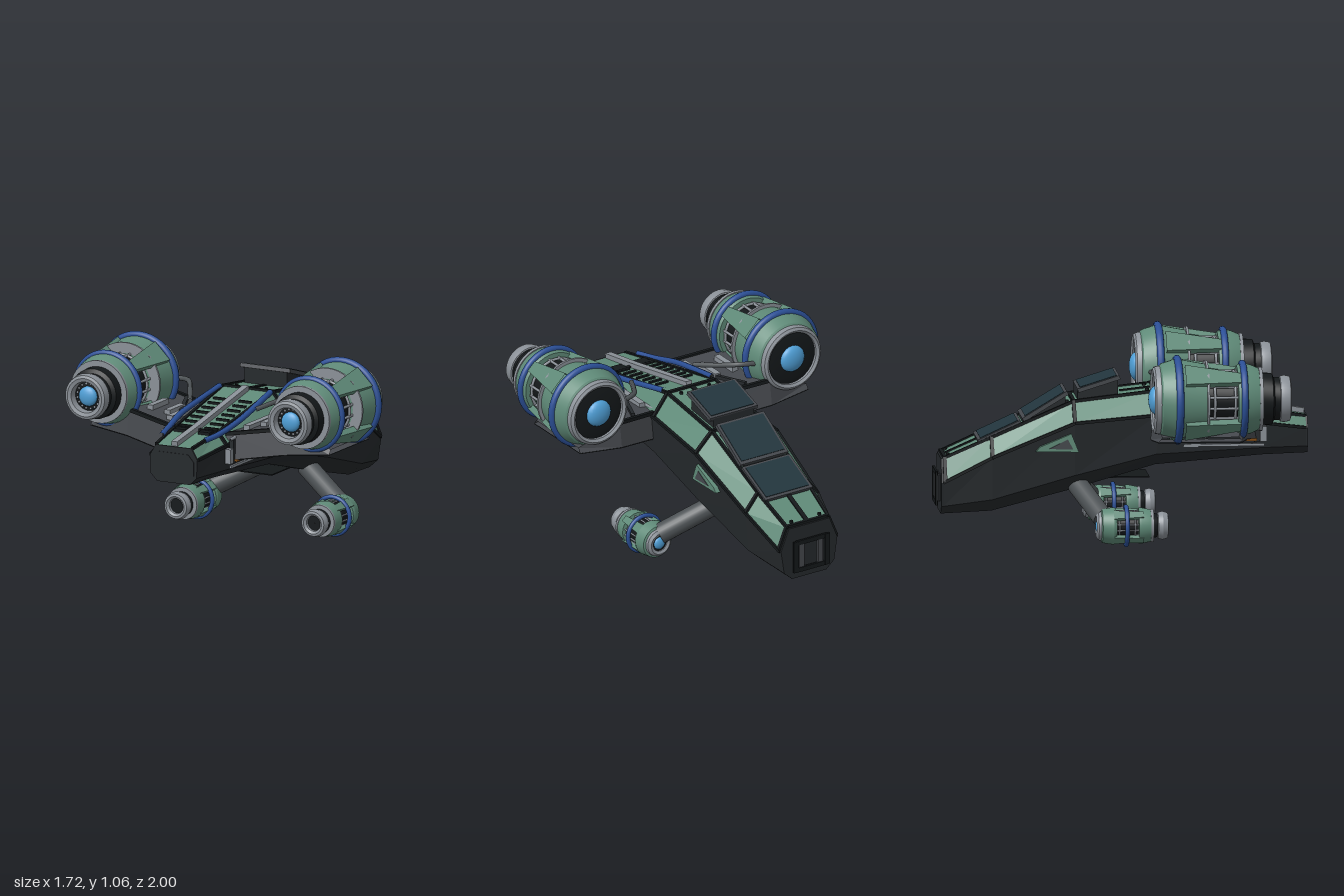
import * as THREE from 'three';
import { toCreasedNormals } from 'three/addons/utils/BufferGeometryUtils.js';

const C = { green: 0x5f8a78, dark: 0x25292c, black: 0x14181a, blue: 0x2b4f96, grey: 0x8a9097, glass: 0x22353d,
  lamp: 0x4f9fd6, arm: 0x4c5154, wing: 0x45484d, orange: 0xa8641e };
const V = (x, y, z) => new THREE.Vector3(x, y, z);

function add(parent, name, geo, color, flat = false, double = false) {
  const mat = new THREE.MeshStandardMaterial({ color, flatShading: flat, side: double ? THREE.DoubleSide : THREE.FrontSide });
  const m = new THREE.Mesh(geo, mat);
  m.name = name;
  parent.add(m);
  return m;
}
function box(p, name, w, h, d, x, y, z, color) {
  const m = add(p, name, new THREE.BoxGeometry(w, h, d), color);
  m.position.set(x, y, z);
  return m;
}
// Box stretched between two points
function bar(p, name, a, b, w, h, color) {
  const m = add(p, name, new THREE.BoxGeometry(w, h, a.distanceTo(b)), color);
  m.position.copy(a).add(b).multiplyScalar(0.5);
  m.lookAt(b);
  return m;
}
function tube(p, name, pts, r, color) {
  return add(p, name, new THREE.TubeGeometry(new THREE.CatmullRomCurve3(pts, false, 'centripetal'), 20, r, 8), color);
}
// Skin between rings of points
function loft(rings, closed = false) {
  const pos = [];
  for (let i = 0; i < rings.length - 1; i++) {
    const a = rings[i], b = rings[i + 1], n = a.length;
    for (let j = 0; j < (closed ? n : n - 1); j++) {
      const k = (j + 1) % n;
      for (const v of [a[j], b[j], b[k], a[j], b[k], a[k]]) pos.push(v.x, v.y, v.z);
    }
  }
  const g = new THREE.BufferGeometry();
  g.setAttribute('position', new THREE.Float32BufferAttribute(pos, 3));
  g.computeVertexNormals();
  return g;
}
// Side outline in (z, y), extruded across x
function sidePlate(pts, width) {
  const g = new THREE.ExtrudeGeometry(new THREE.Shape(pts.map(q => new THREE.Vector2(...q))), { depth: width, bevelEnabled: false });
  return g.translate(0, 0, -width / 2).rotateY(-Math.PI / 2);
}
function lathe(profile) {
  const g = new THREE.LatheGeometry(profile.map(q => new THREE.Vector2(...q)), 40);
  return toCreasedNormals(g.rotateX(Math.PI / 2), 0.45);
}

// Hull stations: z, bottom y/w, lower side y/w, shoulder y/w, roof y/w
const S = [
  [0.99, 0.46, 0.10, 0.50, 0.14, 0.60, 0.145, 0.66, 0.11],
  [0.75, 0.453, 0.11, 0.50, 0.18, 0.635, 0.185, 0.70, 0.13],
  [0.18, 0.41, 0.13, 0.48, 0.235, 0.69, 0.24, 0.81, 0.15],
  [-0.26, 0.285, 0.14, 0.37, 0.24, 0.655, 0.26, 0.76, 0.155],
  [-0.70, 0.17, 0.13, 0.24, 0.21, 0.47, 0.23, 0.57, 0.15],
  [-0.96, 0.155, 0.11, 0.20, 0.16, 0.33, 0.18, 0.455, 0.13]];
function at(z) {
  let i = 0;
  while (i < S.length - 2 && z < S[i + 1][0]) i++;
  const t = (S[i][0] - z) / (S[i][0] - S[i + 1][0]);
  return S[i].map((v, k) => v + (S[i + 1][k] - v) * t);
}
const roof = (z, x, up = 0) => V(x, at(z)[7] + up, z);
const lower = s => [V(-s[6], s[5], s[0]), V(-s[4], s[3], s[0]), V(-s[2], s[1], s[0]), V(s[2], s[1], s[0]), V(s[4], s[3], s[0]), V(s[6], s[5], s[0])];
const upper = s => [V(s[6], s[5], s[0]), V(s[8], s[7], s[0]), V(-s[8], s[7], s[0]), V(-s[6], s[5], s[0])];

function buildHull(g) {
  add(g, 'lowerHull', loft(S.map(lower)), C.dark, true);
  add(g, 'upperHull', loft(S.map(upper)), C.green, true);
  // End caps
  for (const [s, name] of [[S[0], 'sternCap'], [S[5], 'noseCap']]) {
    const pts = [...lower(s), ...upper(s).slice(1, 3)].map(v => new THREE.Vector2(v.x, v.y));
    const m = add(g, name, new THREE.ExtrudeGeometry(new THREE.Shape(pts), { depth: 0.01, bevelEnabled: false }), C.dark, true);
    m.position.z = s[0] - (s[0] < 0 ? 0.01 : 0);
  }
  // Dark trim along the edges and around the seams
  for (let i = 0; i < S.length - 1; i++) {
    const a = upper(S[i]), b = upper(S[i + 1]);
    for (let j = 0; j < 4; j++) bar(g, 'edgeTrim', a[j], b[j], 0.016, 0.016, C.black);
  }
  for (const z of [0.75, 0.18, -0.26, -0.70, -0.95]) {
    const r = upper(at(z));
    for (let j = 0; j < 3; j++) bar(g, 'seamTrim', r[j], r[j + 1], 0.02, 0.02, C.black);
  }
  for (const [a, b] of [[-0.95, -0.70], [0.0, 0.18]]) bar(g, 'roofStrip', roof(a, 0), roof(b, 0), 0.026, 0.014, C.black);
  for (const s of [-1, 1]) {
    for (const z of [-0.93, -0.29, -0.22, 0.14]) {
      add(g, 'rivet', new THREE.CylinderGeometry(0.01, 0.01, 0.016, 10), C.black).position.copy(roof(z, s * 0.09, 0.004));
    }
  }
  // Raised windows
  for (const [z0, y0, z1, y1] of [[-0.01, 0.885, -0.235, 0.815], [-0.29, 0.805, -0.53, 0.66], [-0.54, 0.65, -0.77, 0.545]]) {
    const base = [[z0 - 0.01, at(z0)[7] - 0.02], [z0 - 0.01, y0], [z1, y1], [z1, at(z1)[7] - 0.02]].reverse();
    add(g, 'windowBase', sidePlate(base, 0.26), C.dark, true);
    const a = V(0, y0, z0), b = V(0, y1, z1);
    bar(g, 'windowFrame', a, b, 0.305, 0.022, C.wing);
    const c = a.clone().lerp(b, 0.06), d = a.clone().lerp(b, 0.94);
    c.y += 0.005; d.y += 0.005;
    bar(g, 'windowGlass', c, d, 0.275, 0.02, C.glass);
  }
  // Nose hatch frame
  for (const s of [-1, 1]) {
    box(g, 'noseFrameSide', 0.03, 0.18, 0.012, s * 0.1, 0.29, -0.992, C.black);
    box(g, 'noseFrameBar', 0.2, 0.025, 0.012, 0, 0.29 + s * 0.08, -0.99, C.black);
    box(g, 'noseStrut', 0.03, 0.15, 0.025, s * 0.06, 0.29, -0.978, C.wing);
  }
  box(g, 'noseHatch', 0.18, 0.14, 0.01, 0, 0.29, -0.973, C.dark);
  // Stern plate
  const e = new THREE.Shape([[-0.09, 0.485], [0.09, 0.485], [0.125, 0.51], [0.125, 0.585], [0.09, 0.625], [-0.09, 0.625], [-0.125, 0.585], [-0.125, 0.51]].map(q => new THREE.Vector2(...q)));
  add(g, 'sternPlate', new THREE.ExtrudeGeometry(e, { depth: 0.005, bevelEnabled: false }), C.dark).position.z = 0.998;
  // Belly plate
  box(g, 'bellyPlate', 0.26, 0.006, 0.24, 0, 0.342, 0.03, C.black);
  // Spine rail and roof slats
  for (const [a, b] of [[0.2, 0.75], [0.75, 0.99]]) bar(g, 'spineRail', roof(a, 0, 0.012), roof(b, 0, 0.012), 0.036, 0.03, C.grey);
  for (let i = 0; i < 7; i++) {
    const z = 0.35 + i * 0.062;
    for (const s of [-1, 1]) bar(g, 'roofSlat', roof(z, s * 0.04, 0.003), roof(z, s * 0.115, 0.003), 0.016, 0.014, C.black);
  }
  for (const s of [-1, 1]) bar(g, 'roofVent', roof(0.78, s * 0.04, 0.004), roof(0.78, s * 0.11, 0.004), 0.045, 0.016, C.black);
}

// Engine pod: shell profiles, rings, cage rods, struts; all along z
function engine(name, e) {
  const g = new THREE.Group();
  g.name = name;
  for (const [part, color, profile] of e.shells) add(g, part, lathe(profile), color);
  for (const [part, color, r, t, z] of e.rings) add(g, part, new THREE.TorusGeometry(r, t, 12, 44), color).position.z = z;
  for (const [r, z, dir] of e.lamps) {
    const m = add(g, 'lamp', new THREE.SphereGeometry(r, 24, 12), C.lamp);
    m.position.z = z;
    m.scale.z = 0.5 * dir;
  }
  const c = e.cage;
  for (let i = 0; i < 16; i++) {
    const t = (i + 0.5) * Math.PI / 8, x = Math.cos(t), y = Math.sin(t);
    tube(g, 'cageRod', [V(x * c.r, y * c.r, c.z0), V(x * c.r, y * c.r, c.z1)], c.rod, C.grey);
    if (e.bolts) add(g, 'bolt', new THREE.SphereGeometry(0.007, 8, 6), C.grey).position.set(x * e.bolts[0], y * e.bolts[0], e.bolts[1]);
  }
  // Four tapering struts bridge the cage
  const [z0, r0, w0, z1, r1, w1] = e.strut;
  for (let i = 0; i < 4; i++) {
    const ring = (z, r, w) => [V(-w, r - c.t, z), V(w, r - c.t, z), V(w, r, z), V(-w, r, z)];
    add(g, 'strut', loft([ring(z1, r1, w1), ring(z0, r0, w0)], true), C.green, true, true).rotation.z = Math.PI / 4 + i * Math.PI / 2;
  }
  return g;
}
const BIG = {
  shells: [['intakeLip', C.grey, [[0.15, 0.16], [0.15, 0.135], [0.165, 0.125], [0.18, 0.135], [0.185, 0.165]]],
    ['intakeRing', C.black, [[0.001, 0.148], [0.155, 0.148]].reverse()],
    ['intakeFace', C.black, [[0.001, 0.14], [0.11, 0.14], [0.15, 0.15]]],
    ['frontCowl', C.green, [[0.182, 0.16], [0.195, 0.17], [0.222, 0.25], [0.212, 0.3], [0.19, 0.415], [0.13, 0.42]]],
    ['cowlFlange', C.grey, [[0.18, 0.405], [0.212, 0.405], [0.212, 0.418], [0.15, 0.418]]],
    ['core', C.black, [[0.135, 0.4], [0.135, 0.6]]],
    ['rearCowl', C.green, [[0.13, 0.575], [0.18, 0.575], [0.195, 0.605], [0.185, 0.65], [0.165, 0.695], [0.1, 0.7]]],
    ['rearFlange', C.grey, [[0.15, 0.692], [0.172, 0.692], [0.172, 0.71], [0.1, 0.71]]],
    ['nozzle', C.black, [[0.14, 0.7], [0.138, 0.765], [0.115, 0.775], [0.115, 0.81], [0.05, 0.82], [0.001, 0.82]]],
    ['nozzleRing', C.grey, [[0.1, 0.8], [0.122, 0.808], [0.126, 0.83], [0.12, 0.86], [0.105, 0.866], [0.085, 0.86], [0.08, 0.82]]]],
  rings: [['frontRing', C.blue, 0.221, 0.02, 0.258], ['rearRing', C.blue, 0.192, 0.018, 0.608],
    ['cageRing', C.grey, 0.152, 0.008, 0.45], ['cageRing', C.grey, 0.152, 0.008, 0.56]],
  lamps: [[0.075, 0.14, 1], [0.055, 0.825, 1]], bolts: [0.068, 0.822],
  cage: { r: 0.152, rod: 0.008, z0: 0.41, z1: 0.585, t: 0.035 }, strut: [0.29, 0.225, 0.065, 0.6, 0.19, 0.03] };
const SMALL = {
  shells: [['intakeLip', C.grey, [[0.045, -0.14], [0.045, -0.155], [0.06, -0.162], [0.075, -0.15], [0.08, -0.125]]],
    ['intakeFace', C.black, [[0.001, -0.15], [0.05, -0.145]].reverse().map(q => [q[0], -0.148])],
    ['intakeDisc', C.black, [[0.001, -0.149], [0.05, -0.149]]],
    ['frontCowl', C.green, [[0.078, -0.135], [0.09, -0.13], [0.1, -0.07], [0.095, -0.055], [0.06, -0.05]]],
    ['core', C.black, [[0.07, -0.06], [0.07, 0.08]]],
    ['rearCowl', C.green, [[0.06, 0.06], [0.095, 0.065], [0.097, 0.08], [0.085, 0.135], [0.06, 0.14]]],
    ['rearFlange', C.grey, [[0.07, 0.128], [0.088, 0.13], [0.088, 0.145], [0.06, 0.147]]],
    ['nozzle', C.black, [[0.068, 0.14], [0.06, 0.175], [0.05, 0.2], [0.001, 0.2]]],
    ['nozzleRing', C.grey, [[0.055, 0.165], [0.07, 0.17], [0.076, 0.195], [0.068, 0.222], [0.055, 0.225], [0.042, 0.215], [0.04, 0.195]]]],
  rings: [['midRing', C.blue, 0.103, 0.012, 0], ['cageRing', C.grey, 0.08, 0.005, 0.045], ['cageRing', C.grey, 0.08, 0.005, -0.04]],
  lamps: [[0.035, -0.148, 1]],
  cage: { r: 0.08, rod: 0.005, z0: -0.06, z1: 0.07, t: 0.02 }, strut: [-0.07, 0.1, 0.028, 0.09, 0.1, 0.018] };

function buildSide(g) {
  // Wing
  const ring = (x, z0, z1, b, t) => [V(x, b, z0), V(x, t, z0 + 0.02), V(x, t, z1 - 0.02), V(x, b, z1)];
  const wing = [ring(0.16, 0.21, 0.73, 0.545, 0.69), ring(0.48, 0.125, 0.65, 0.595, 0.735), ring(0.73, 0.15, 0.6, 0.615, 0.64)];
  add(g, 'wing', loft(wing, true), C.wing, true, true);
  add(g, 'wingUnderside', loft(wing.map(r => [r[0], r[3]].map(v => V(v.x, v.y - 0.004, v.z)))), C.black, true, true);
  for (const [a, b] of [[0, 1], [2, 2], [1, 2]].slice(0, 1)) bar(g, 'wingEdge', wing[0][1], wing[1][1], 0.02, 0.02, C.black);
  bar(g, 'wingEdge', wing[0][2], wing[1][2], 0.02, 0.02, C.black);
  // Wing ribs and slats
  for (const [x, z0, z1] of [[0.235, 0.3, 0.62], [0.295, 0.37, 0.54], [0.4, 0.36, 0.54]]) {
    bar(g, 'wingSlat', V(x, 0.695 + (x - 0.16) * 0.14, z0), V(x, 0.695 + (x - 0.16) * 0.14, z1), 0.036, 0.04, C.grey);
  }
  bar(g, 'wingRib', V(0.22, 0.705, 0.55), V(0.36, 0.725, 0.2), 0.02, 0.02, C.dark);
  // Brace from roof to engine
  tube(g, 'brace', [V(0.2, 0.775, 0.46), V(0.27, 0.805, 0.33), V(0.34, 0.83, 0.23), V(0.44, 0.825, 0.2)], 0.014, C.arm);
  // Roof pipe, side rails and their clamps
  tube(g, 'roofPipe', [V(0.155, 0.815, 0.21), V(0.165, 0.79, 0.34), V(0.178, 0.74, 0.6), V(0.155, 0.7, 0.78), V(0.13, 0.685, 0.9)], 0.016, C.blue);
  bar(g, 'sideRail', V(0.215, 0.522, 0.31), V(0.215, 0.522, 0.76), 0.014, 0.014, C.grey);
  bar(g, 'sideLine', V(0.225, 0.55, 0.33), V(0.225, 0.55, 0.72), 0.014, 0.01, C.orange);
  tube(g, 'upperRail', [V(0.205, 0.71, 0.22), V(0.21, 0.67, 0.76)], 0.009, C.grey);
  box(g, 'railClamp', 0.035, 0.08, 0.035, 0.205, 0.58, 0.755, C.grey);
  box(g, 'railClamp', 0.025, 0.13, 0.025, 0.205, 0.6, 0.72, C.dark);
  // Side fin
  add(g, 'sideFin', sidePlate([[-0.24, 0.5], [-0.47, 0.505], [-0.45, 0.53], [-0.28, 0.6]], 0.03), C.green, true).position.x = 0.255;
  add(g, 'finInset', sidePlate([[-0.27, 0.515], [-0.4, 0.52], [-0.3, 0.57]], 0.036), C.wing, true).position.x = 0.255;
  // Main engine
  const big = engine('mainEngine', BIG);
  big.position.set(0.62, 0.83, 0);
  g.add(big);
  // Lower engine on its arm
  const a = V(0.13, 0.31, -0.24), b = V(0.4, 0.16, -0.12);
  const arm = add(g, 'arm', new THREE.CylinderGeometry(0.056, 0.056, a.distanceTo(b), 24), C.arm);
  arm.position.copy(a).add(b).multiplyScalar(0.5);
  arm.quaternion.setFromUnitVectors(V(0, 1, 0), b.clone().sub(a).normalize());
  const small = engine('lowerEngine', SMALL);
  small.position.set(0.42, 0.122, 0);
  g.add(small);
}

export function createModel() {
  const model = new THREE.Group();
  model.name = 'spacecraft';
  const hull = new THREE.Group();
  hull.name = 'hull';
  buildHull(hull);
  model.add(hull);
  for (const s of [1, -1]) {
    const side = new THREE.Group();
    side.name = s > 0 ? 'leftSide' : 'rightSide';
    buildSide(side);
    side.scale.x = s;
    model.add(side);
  }
  return model;
}
